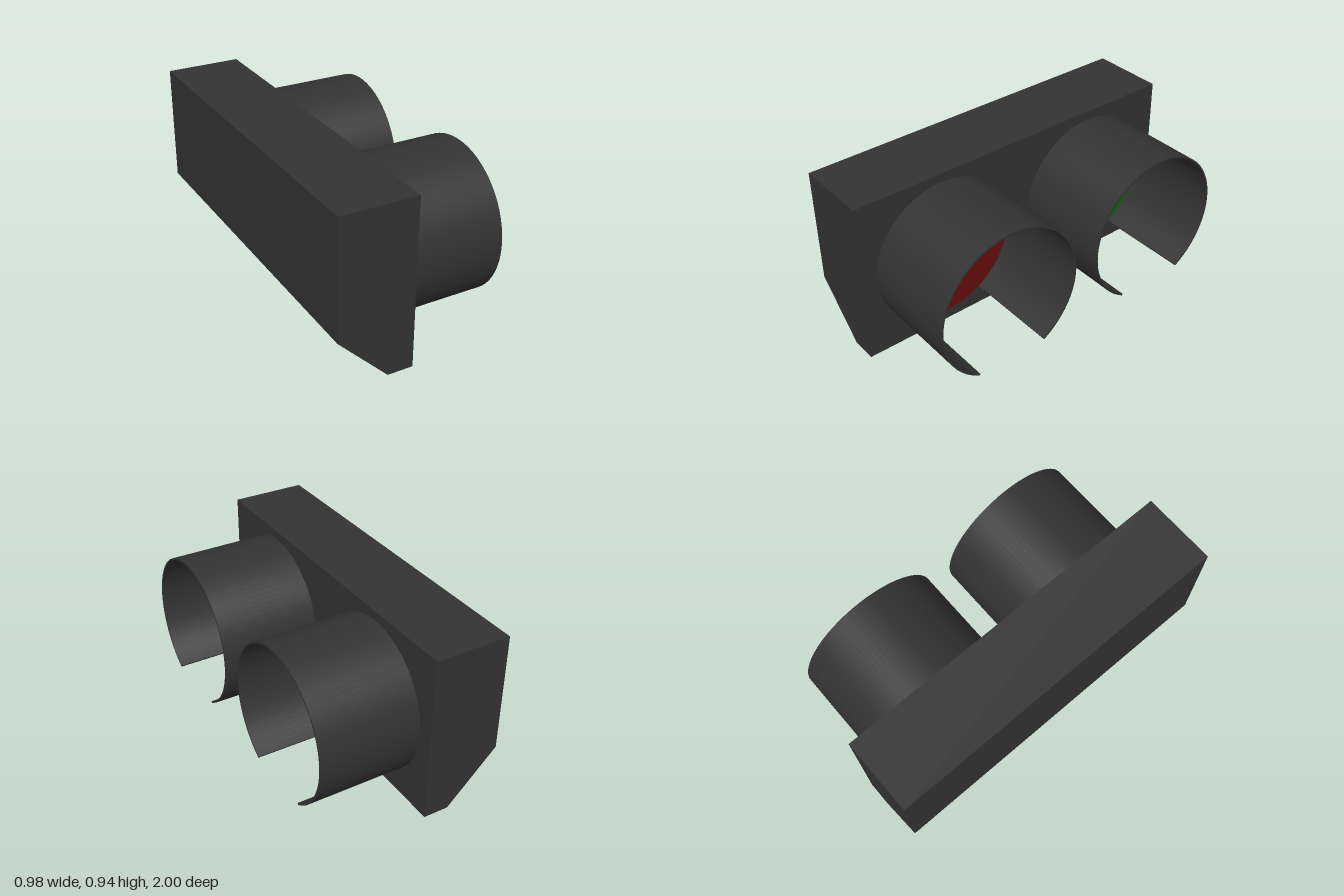
import * as THREE from 'three';
import { toCreasedNormals } from 'three/addons/utils/BufferGeometryUtils.js';

const FACE_X = -0.07, FRONT_X = 0.492, CENTER_Y = 0.473, LAMP_Z = 0.492;
const OUTER_R = 0.422, INNER_R = 0.412;

const material = (color) => new THREE.MeshStandardMaterial({ color });

function addMesh(parent, name, geometry, mat) {
  const mesh = new THREE.Mesh(geometry, mat);
  mesh.name = name;
  parent.add(mesh);
  return mesh;
}

// Box with a sloped lower back edge
function housingGeometry() {
  const profile = new THREE.Shape([
    new THREE.Vector2(-0.492, 0.282),
    new THREE.Vector2(-0.212, 0),
    new THREE.Vector2(FACE_X, 0),
    new THREE.Vector2(FACE_X, 0.945),
    new THREE.Vector2(-0.492, 0.945),
  ]);
  return new THREE.ExtrudeGeometry(profile, { depth: 2, bevelEnabled: false }).translate(0, 0, -1);
}

// Thin tube along x with a 60 degree gap at the bottom
function visorGeometry() {
  const start = -Math.PI / 3, end = Math.PI * 4 / 3;
  const ring = new THREE.Shape();
  ring.absarc(0, 0, OUTER_R, start, end, false);
  ring.absarc(0, 0, INNER_R, end, start, true);
  ring.closePath();
  const geometry = new THREE.ExtrudeGeometry(ring, {
    depth: FRONT_X - FACE_X, bevelEnabled: false, curveSegments: 40,
  });
  return toCreasedNormals(geometry, 0.5).rotateY(Math.PI / 2);
}

export function createModel() {
  const model = new THREE.Group();
  model.name = 'signalLamp';
  const dark = material(0x333333);

  addMesh(model, 'housing', housingGeometry(), dark);

  // Two lamps side by side, each a lens under a visor
  const visor = visorGeometry();
  const lens = new THREE.CircleGeometry(INNER_R, 80).rotateY(Math.PI / 2);
  for (const [name, z, color] of [['red', LAMP_Z, 0x660d0d], ['green', -LAMP_Z, 0x0d660d]]) {
    const lamp = new THREE.Group();
    lamp.name = `${name}Lamp`;
    lamp.position.set(FACE_X, CENTER_Y, z);
    addMesh(lamp, `${name}Visor`, visor, dark);
    addMesh(lamp, `${name}Lens`, lens, material(color)).position.x = 0.003;
    model.add(lamp);
  }
  return model;
}
